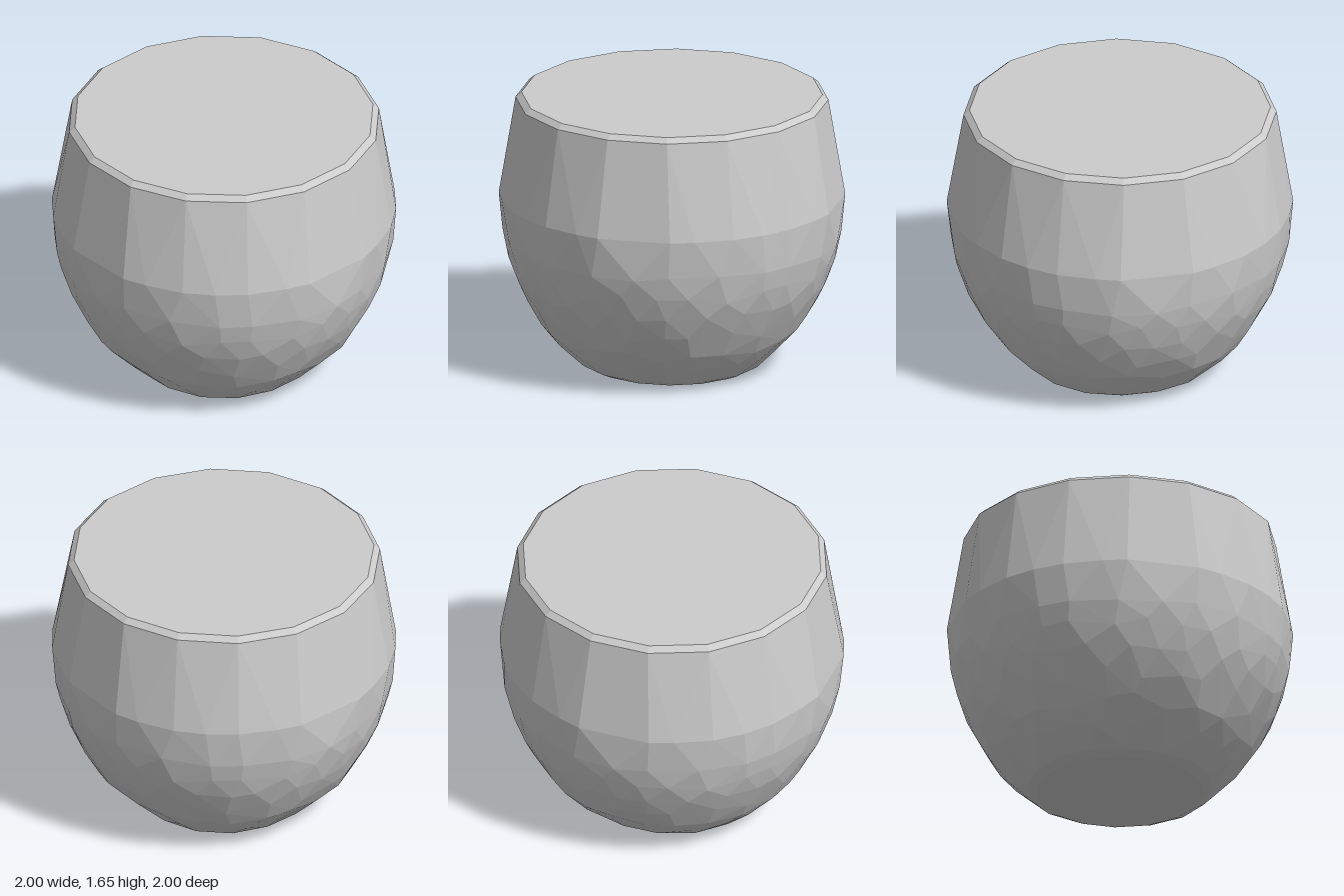
import * as THREE from 'three';
import { ConvexGeometry } from 'three/addons/geometries/ConvexGeometry.js';

// Lower body silhouette: [height, radius]
const PROFILE = [[0.03, 0.56], [0.14, 0.68], [0.25, 0.775], [0.38, 0.85], [0.52, 0.918], [0.66, 0.968], [0.79, 1.0], [1.04, 1.02]];

function radiusAt(y) {
  let i = 0;
  while (i < PROFILE.length - 2 && y > PROFILE[i + 1][0]) i++;
  const [y0, r0] = PROFILE[i], [y1, r1] = PROFILE[i + 1];
  return r0 + (r1 - r0) * (y - y0) / (y1 - y0);
}

// Small seeded generator, returning -0.5 .. 0.5
function seeded(seed) {
  return () => {
    seed = (seed * 16807) % 2147483647;
    return seed / 2147483647 - 0.5;
  };
}

export function createModel() {
  const group = new THREE.Group();
  group.name = 'facetedBowl';
  const points = [];
  const random = seeded(4127);

  // Repeat a point around the four quarters; the 45 degree cut makes the four chamfer facets near the foot
  const addQuarterTurns = (x, y, z) => {
    const cut = Math.min(1, (y + 0.51) / Math.max(Math.abs(x), Math.abs(z)));
    x *= cut;
    z *= cut;
    points.push(
      new THREE.Vector3(x, y, z), new THREE.Vector3(z, y, -x),
      new THREE.Vector3(-x, y, -z), new THREE.Vector3(-z, y, x));
  };

  // Regular 16-sided rings: flat top, rim bevel, foot bevel and flat base
  for (const [y, r] of [[1.655, 0.89], [1.625, 0.925], [0.03, 0.56], [0, 0.495]]) {
    for (let i = 0; i < 4; i++) {
      const a = (i + 0.5) * Math.PI / 8;
      addQuarterTurns(r * Math.sin(a), y, r * Math.cos(a));
    }
  }

  // Widest ring, where the tall upper facets begin
  for (const [x, z] of [[0.22, 1], [0.36, 0.95], [0.57, 0.845], [0.72, 0.72], [0.845, 0.57], [0.95, 0.36], [1, 0.22]]) {
    addQuarterTurns(x, 1.04, z);
  }

  // Irregular chipped facets: staggered, jittered rings following the profile
  const rings = [[0.79, 6, 0], [0.66, 7, 0.5], [0.52, 7, 0], [0.38, 6, 0.5], [0.25, 6, 0.5], [0.14, 5, 0.5]];
  for (const [height, count, phase] of rings) {
    for (let i = 0; i < count; i++) {
      const onAxis = i + phase === 0;
      const a = (i + phase + (onAxis ? 0 : random() * 0.45)) * Math.PI / 2 / count;
      const y = height + (onAxis ? 0 : random() * 0.07);
      const r = radiusAt(y);
      addQuarterTurns(r * Math.sin(a), y, r * Math.cos(a));
    }
  }

  const body = new THREE.Mesh(
    new ConvexGeometry(points),
    new THREE.MeshStandardMaterial({ color: 0xcccccc, flatShading: true }));
  body.name = 'body';
  group.add(body);
  return group;
}
